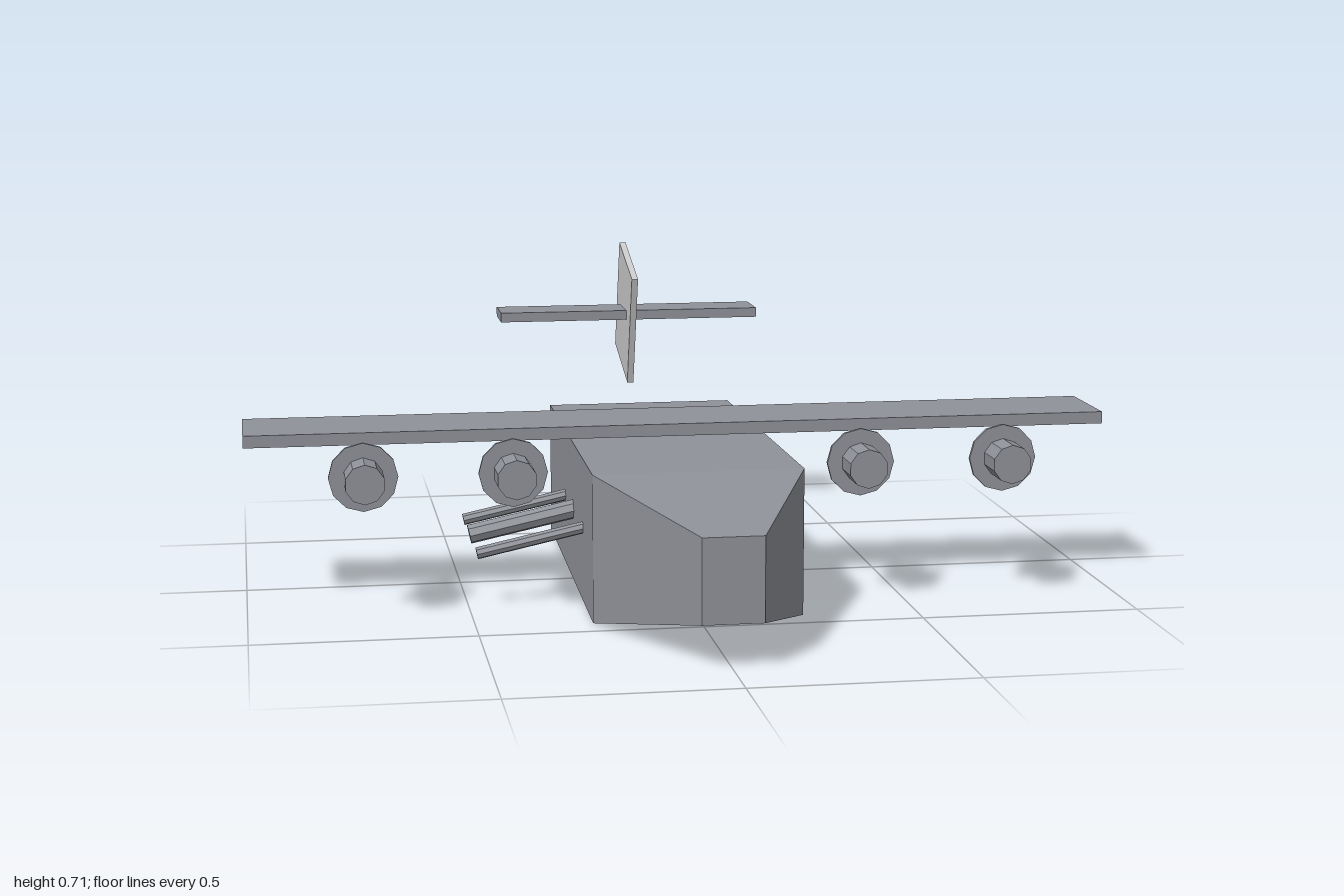
import * as THREE from 'three';

export function createModel() {
  const model = new THREE.Group();
  const hullGrey = new THREE.MeshStandardMaterial({ color: 0x8f9299, flatShading: true });
  hullGrey.name = 'hullGrey';
  const finGrey = new THREE.MeshStandardMaterial({ color: 0xcacaca, flatShading: true });
  finGrey.name = 'finGrey';

  const add = (name, geometry, material, x = 0, y = 0, z = 0, parent = model) => {
    const mesh = new THREE.Mesh(geometry, material);
    mesh.name = name;
    mesh.position.set(x, y, z);
    parent.add(mesh);
    return mesh;
  };

  // Fuselage: rectangular sections from tail to nose
  const sections = [
    { z: -0.765, w: 0.105, y0: 0.125, y1: 0.232 },
    { z: -0.475, w: 0.228, y0: 0.015, y1: 0.337 },
    { z: 0.43, w: 0.239, y0: 0, y1: 0.337 },
    { z: 0.86, w: 0.067, y0: 0.098, y1: 0.285 },
  ].map(({ z, w, y0, y1 }) => [[w, y1, z], [-w, y1, z], [-w, y0, z], [w, y0, z]]);
  const points = [];
  const quad = (a, b, c, d) => points.push(...a, ...b, ...c, ...a, ...c, ...d);
  for (let s = 0; s < sections.length - 1; s++) {
    const back = sections[s], front = sections[s + 1];
    for (let i = 0; i < 4; i++) {
      const j = (i + 1) % 4;
      quad(back[i], back[j], front[j], front[i]);
    }
  }
  quad(...sections[3]);
  quad(...[...sections[0]].reverse());
  const hull = new THREE.BufferGeometry();
  hull.setAttribute('position', new THREE.Float32BufferAttribute(points, 3));
  hull.computeVertexNormals();
  add('fuselage', hull, hullGrey);

  // Wing, tailplane and swept fin
  add('wing', new THREE.BoxGeometry(2, 0.028, 0.22), hullGrey, 0, 0.392, 0.1);
  add('tailplane', new THREE.BoxGeometry(0.668, 0.024, 0.12), hullGrey, 0, 0.539, -0.703);
  const fin = add('fin', new THREE.BoxGeometry(0.016, 0.294, 0.236), finGrey, 0, 0.539, -0.7);
  fin.rotation.x = 0.3;

  // Engines: a nacelle with a propeller disc each
  const nacelle = new THREE.CylinderGeometry(0.045, 0.045, 0.184, 10).rotateX(Math.PI / 2);
  const disc = new THREE.CylinderGeometry(0.078, 0.078, 0.009, 12).rotateX(Math.PI / 2);
  [-0.737, -0.402, 0.396, 0.731].forEach((x) => {
    const engine = new THREE.Group();
    engine.name = 'engine';
    engine.position.set(x, 0.323, 0.302);
    add('nacelle', nacelle, hullGrey, 0, 0, 0, engine);
    add('propellerDisc', disc, hullGrey, 0, 0, 0.003, engine);
    model.add(engine);
  });

  // Side guns, sloping down on the right side
  [[-0.135, 0.014], [0.03, 0.023], [0.23, 0.014]].forEach(([z, radius]) => {
    const gun = add('sideGun', new THREE.CylinderGeometry(radius, radius, 0.3, 8), hullGrey, -0.333, 0.154, z);
    gun.rotation.z = Math.PI / 2 + 0.21;
  });

  return model;
}
